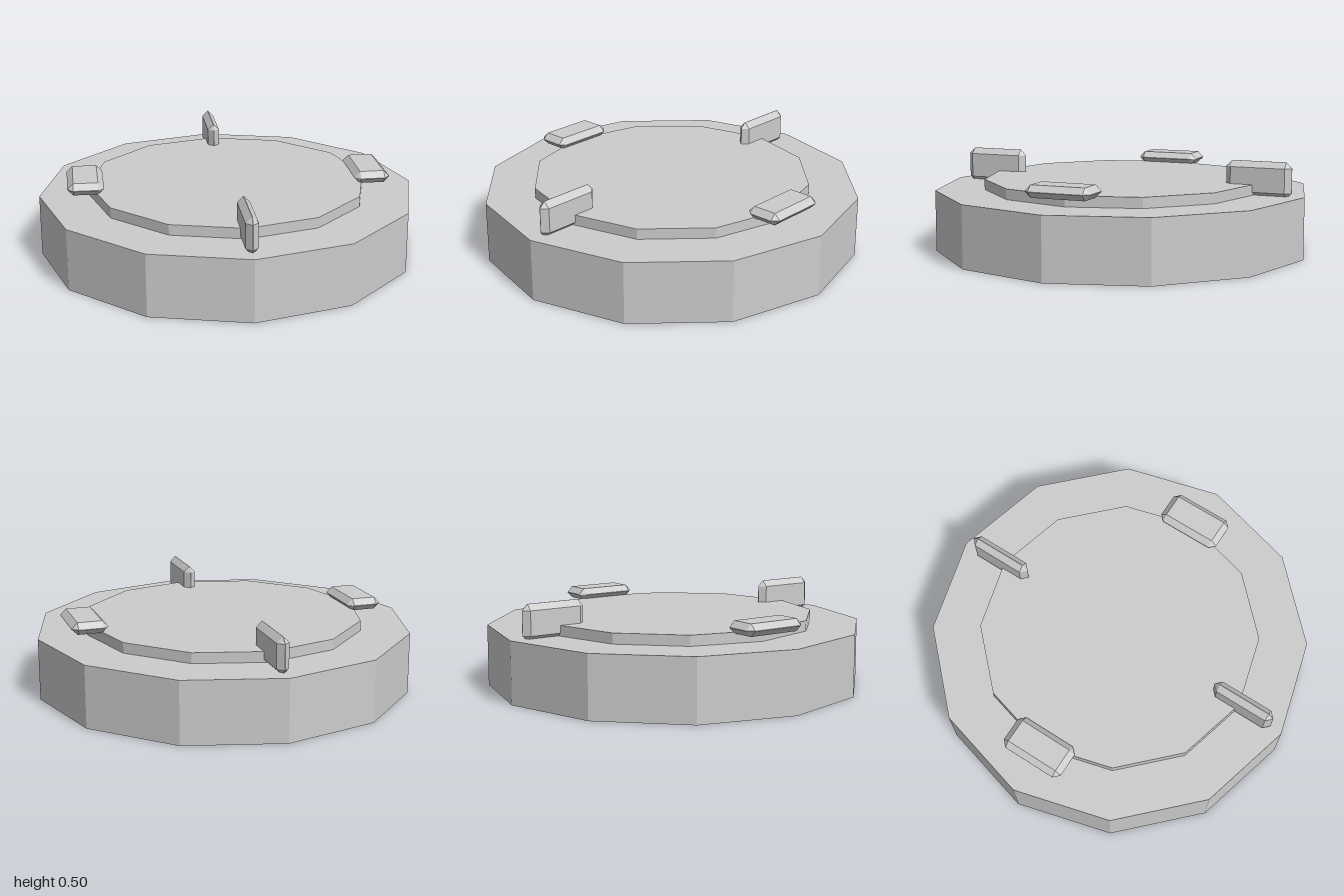
import * as THREE from 'three';
import { ConvexGeometry } from 'three/addons/geometries/ConvexGeometry.js';

const SIDES = 12;

// Box with every edge and corner cut by c
function chamferedBox(w, h, d, c) {
  const [x, y, z] = [w / 2, h / 2, d / 2];
  const points = [];
  for (const sx of [-1, 1]) for (const sy of [-1, 1]) for (const sz of [-1, 1]) {
    points.push(
      new THREE.Vector3(sx * x, sy * (y - c), sz * (z - c)),
      new THREE.Vector3(sx * (x - c), sy * y, sz * (z - c)),
      new THREE.Vector3(sx * (x - c), sy * (y - c), sz * z)
    );
  }
  return new ConvexGeometry(points);
}

export function createModel() {
  const model = new THREE.Group();
  model.name = 'roundPlate';

  const grey = new THREE.MeshStandardMaterial({ color: 0xcccccc, flatShading: true });
  grey.name = 'lightGrey';

  const add = (name, geometry, x, y, z) => {
    const mesh = new THREE.Mesh(geometry, grey);
    mesh.name = name;
    mesh.position.set(x, y, z);
    model.add(mesh);
    return mesh;
  };

  // Twelve-sided base with a thin raised disc on top
  add('base', new THREE.CylinderGeometry(1, 1, 0.325, SIDES), 0, 0.1625, 0);
  add('raisedDisc', new THREE.CylinderGeometry(0.74, 0.74, 0.055, SIDES), 0, 0.3525, 0);

  // Four lugs: upright at front and back, lying flat at the sides
  const lug = chamferedBox(0.064, 0.19, 0.35, 0.031);
  add('frontLug', lug, 0, 0.405, 0.757);
  add('backLug', lug, 0, 0.405, -0.757);
  add('leftLug', lug, 0.757, 0.405, 0).rotation.z = Math.PI / 2;
  add('rightLug', lug, -0.757, 0.405, 0).rotation.z = Math.PI / 2;

  return model;
}
